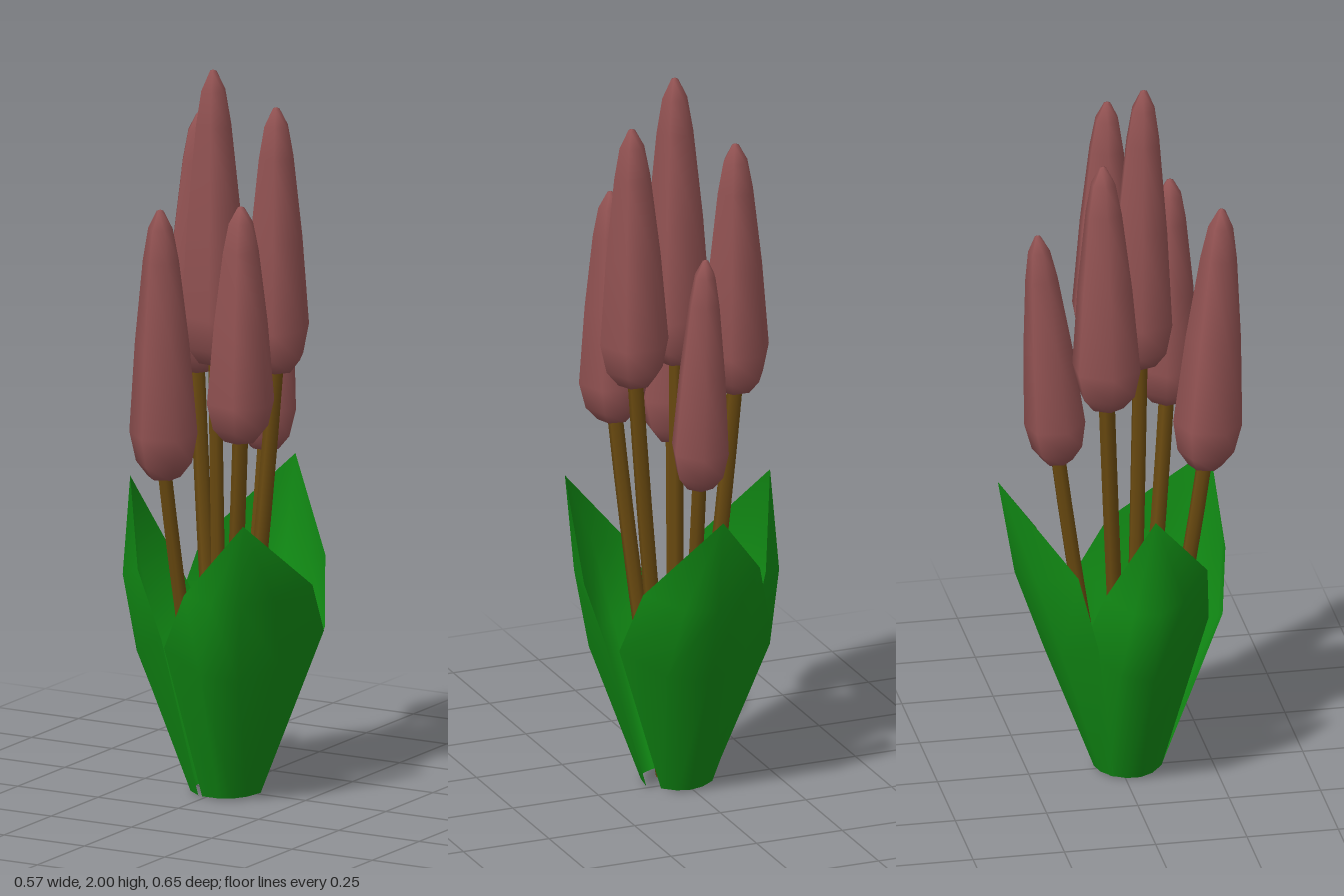
import * as THREE from 'three';

const V = (p) => new THREE.Vector3(...p);
const mat = (color) => new THREE.MeshStandardMaterial({ color, side: THREE.DoubleSide });
const budMat = mat(0x935353), stemMat = mat(0x6a4a10), leafMat = mat(0x118a14);

function add(group, name, geometry, material) {
  const mesh = new THREE.Mesh(geometry, material);
  mesh.name = name;
  group.add(mesh);
  return mesh;
}

// Each flower: bud base, bud tip, widest radius, turn of the six-sided bud in degrees
const FLOWERS = [
  { base: [0.025, 0.91, -0.165], tip: [0.03, 1.58, -0.22], r: 0.083, turn: 44 },
  { base: [-0.125, 1.13, -0.06], tip: [-0.12, 1.84, -0.07], r: 0.097, turn: 30 },
  { base: [0.15, 1.17, -0.015], tip: [0.155, 1.9, -0.005], r: 0.096, turn: 24 },
  { base: [0, 1.19, 0.055], tip: [0, 2.0, 0.065], r: 0.096, turn: 21 },
  { base: [0.138, 1.01, 0.155], tip: [0.145, 1.66, 0.165], r: 0.095, turn: 18 },
  { base: [-0.062, 0.9, 0.22], tip: [-0.045, 1.65, 0.27], r: 0.093, turn: 51 },
];

// Bud outline as [share of radius, share of length]
const BUD = [[0, 0], [0.48, 0.0], [0.82, 0.055], [1, 0.165], [0.8, 0.5], [0.53, 0.81], [0.36, 0.93], [0.1, 0.995], [0, 1]];

function makeFlower({ base, tip, r, turn }) {
  const flower = new THREE.Group();
  flower.name = 'flower';
  const b = V(base), axis = V(tip).sub(b), length = axis.length();

  // Six-sided tapered bud, leaning along its axis
  const outline = BUD.map(([u, v]) => new THREE.Vector2(u * r, v * length));
  const bud = add(flower, 'bud', new THREE.LatheGeometry(outline, 6, THREE.MathUtils.degToRad(turn)), budMat);
  bud.position.copy(b);
  bud.quaternion.setFromUnitVectors(new THREE.Vector3(0, 1, 0), axis.normalize());

  // Slightly bowed stem that ends inside the bud
  const foot = V([0.008 + base[0] * 0.2, 0, 0.018 + base[2] * 0.25]);
  const bow = foot.clone().lerp(b, 0.6).setY(base[1] * 0.5);
  const top = b.clone().addScaledVector(axis, 0.03);
  add(flower, 'stem', new THREE.TubeGeometry(new THREE.QuadraticBezierCurve3(foot, bow, top), 6, 0.021, 6), stemMat);
  const end = add(flower, 'stemEnd', new THREE.CircleGeometry(0.021, 6), stemMat);
  end.rotation.x = Math.PI / 2;
  end.position.copy(foot).setY(0.001);
  return flower;
}

// Each leaf: cross-sections of [edge, middle, edge] from the foot up, then the tip
const LEAVES = [
  {
    name: 'frontLeaf', tip: [0.225, 0.81, 0.29],
    rows: [
      [[-0.005, 0, 0.115], [0.08, 0, 0.095], [0.11, 0, 0]],
      [[-0.03, 0.44, 0.275], [0.175, 0.36, 0.23], [0.26, 0.45, -0.08]],
      [[0.045, 0.6, 0.297], [0.2, 0.58, 0.262], [0.283, 0.6, 0.02]],
    ],
  },
  {
    name: 'sideLeaf', tip: [-0.27, 0.84, 0.045],
    rows: [
      [[-0.02, 0, 0.11], [-0.085, 0, 0.04], [-0.06, 0, -0.04]],
      [[-0.065, 0.45, 0.23], [-0.25, 0.36, 0.045], [-0.14, 0.43, -0.13]],
      [[-0.15, 0.63, 0.21], [-0.284, 0.57, 0.055], [-0.205, 0.6, -0.08]],
    ],
  },
  {
    name: 'backLeaf', tip: [0.025, 0.86, -0.33],
    rows: [
      [[-0.07, 0, -0.03], [0.01, 0, -0.07], [0.08, 0, -0.03]],
      [[-0.21, 0.45, -0.1], [0.015, 0.36, -0.205], [0.24, 0.45, -0.12]],
      [[-0.16, 0.64, -0.145], [0.02, 0.59, -0.285], [0.2, 0.63, -0.19]],
    ],
  },
];

function leafGeometry({ rows, tip }) {
  const n = 4, points = [], index = [];
  const w = n + 1;
  // A parabola through the three points of each cross-section
  for (const row of rows) {
    for (let i = 0; i <= n; i++) {
      const t = i / n;
      const a = (1 - t) * (1 - 2 * t), m = 4 * t * (1 - t), b = t * (2 * t - 1);
      for (let k = 0; k < 3; k++) points.push(row[0][k] * a + row[1][k] * m + row[2][k] * b);
    }
  }
  points.push(...tip);
  const last = rows.length - 1;
  for (let j = 0; j <= last; j++) {
    for (let i = 0; i < n; i++) {
      const p = j * w + i;
      if (j < last) index.push(p, p + 1, p + w, p + 1, p + w + 1, p + w);
      else index.push(p, p + 1, rows.length * w);
    }
  }
  const g = new THREE.BufferGeometry();
  g.setAttribute('position', new THREE.Float32BufferAttribute(points, 3));
  g.setIndex(index);
  g.computeVertexNormals();
  return g;
}

export function createModel() {
  const model = new THREE.Group();
  model.name = 'flowerBunch';
  FLOWERS.forEach((f) => model.add(makeFlower(f)));
  LEAVES.forEach((leaf) => add(model, leaf.name, leafGeometry(leaf), leafMat));
  return model;
}
